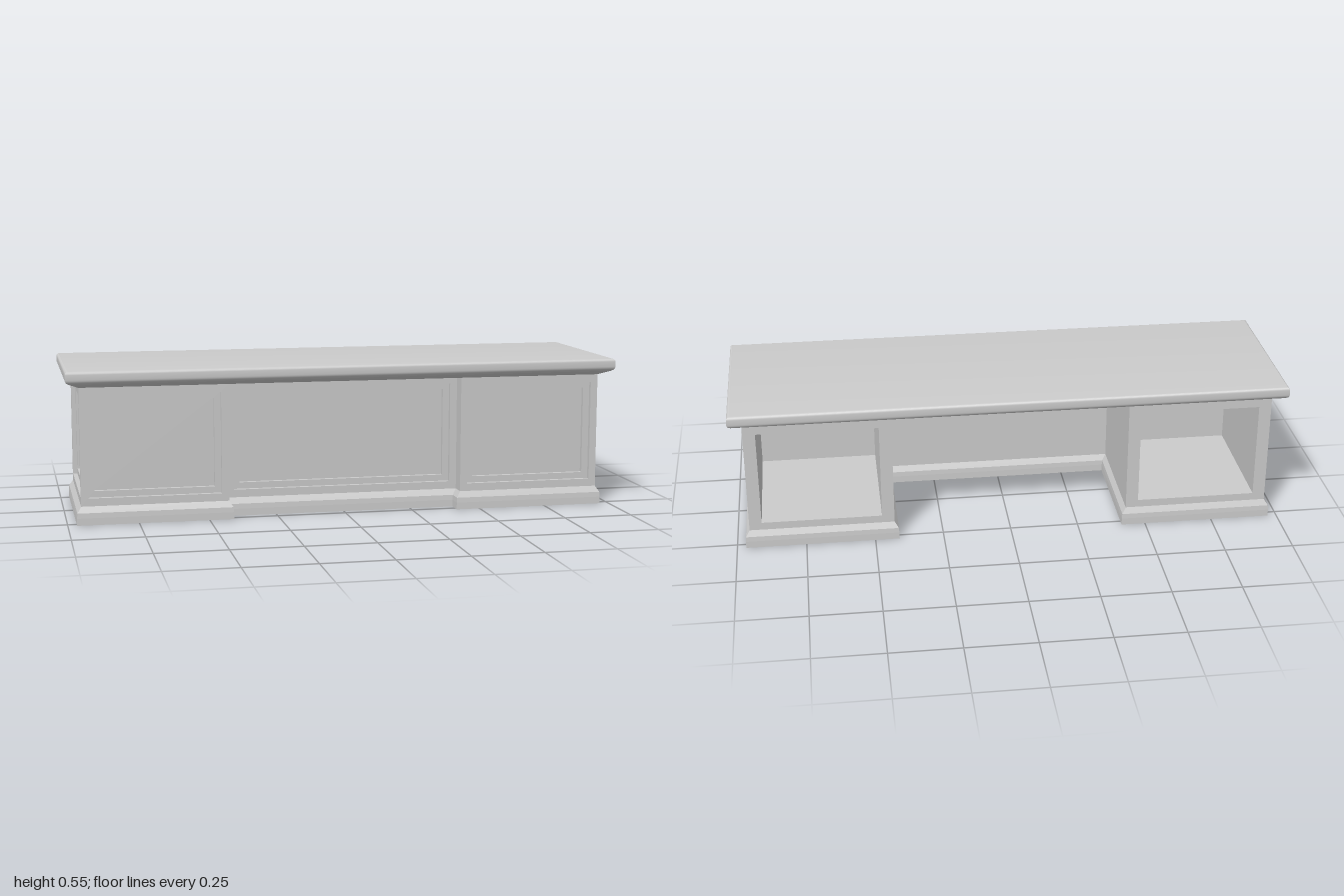
import * as THREE from 'three';
import { toCreasedNormals } from 'three/addons/utils/BufferGeometryUtils.js';

const material = new THREE.MeshStandardMaterial({ color: 0xcccccc, side: THREE.DoubleSide });

const BODY_TOP = 0.485, BODY_BOTTOM = 0.065;
const PED_X = 0.69, PED_HALF = 0.262;
const STEP = 0.016; // depth of each panel step

// Skin a series of rectangles [u0, u1, v0, v1, w], optionally closing the ends.
function loft(rings, capStart, capEnd) {
  const corners = rings.map(([u0, u1, v0, v1, w]) =>
    [[u0, v0, w], [u1, v0, w], [u1, v1, w], [u0, v1, w]]);
  const pos = [];
  const quad = (a, b, c, d) => pos.push(...a, ...b, ...c, ...a, ...c, ...d);
  for (let i = 0; i + 1 < corners.length; i++) {
    for (let k = 0; k < 4; k++) {
      const n = (k + 1) % 4;
      quad(corners[i][k], corners[i][n], corners[i + 1][n], corners[i + 1][k]);
    }
  }
  if (capStart) quad(...[...corners[0]].reverse());
  if (capEnd) quad(...corners[corners.length - 1]);
  const g = new THREE.BufferGeometry();
  g.setAttribute('position', new THREE.Float32BufferAttribute(pos, 3));
  g.computeVertexNormals();
  return g;
}

function mesh(name, geometry) {
  const m = new THREE.Mesh(geometry, material);
  m.name = name;
  return m;
}

// Rectangle of a wall, inset at the sides
const rect = (half, inset, y0, y1, w) => [-half + inset, half - inset, y0, y1, w];

// Wall with a two-step recessed panel
function panelWall(half) {
  return loft([
    rect(half, 0, BODY_BOTTOM, BODY_TOP, 0),
    rect(half, 0.0255, 0.093, 0.457, 0),
    rect(half, 0.0255, 0.093, 0.457, -STEP),
    rect(half, 0.049, 0.116, 0.435, -STEP),
    rect(half, 0.049, 0.116, 0.435, -2 * STEP),
  ], false, true);
}

// Wall with a deep open compartment
function cubbyWall(half, depth) {
  return loft([
    rect(half, 0, BODY_BOTTOM, BODY_TOP, 0),
    rect(half, 0.045, 0.093, 0.45, 0),
    rect(half, 0.045, 0.093, 0.45, -depth),
  ], false, true);
}

const plainWall = (half) => loft([rect(half, 0, BODY_BOTTOM, BODY_TOP, 0)], false, true);

// Horizontal moulding: profile of [offset x, offset z, y] around a rectangle
function moulding(hx, hz, profile, capped) {
  const rings = profile.map(([dx, dz, y]) => [-hx - dx, hx + dx, -hz - dz, hz + dz, y]);
  return loft(rings, capped, capped).rotateX(-Math.PI / 2);
}

const PLINTH = [[0.016, 0.013, 0], [0.0155, 0.0125, 0.025], [0.014, 0.011, 0.043], [0, 0, BODY_BOTTOM]];

function pedestal(side) {
  const g = new THREE.Group();
  g.name = side > 0 ? 'leftPedestal' : 'rightPedestal';
  const walls = [
    ['frontPanel', panelWall(PED_HALF), 0],
    ['outerPanel', panelWall(PED_HALF), side * Math.PI / 2],
    ['innerWall', plainWall(PED_HALF), -side * Math.PI / 2],
    ['backCompartment', cubbyWall(PED_HALF, 0.475), Math.PI],
  ];
  for (const [name, geometry, turn] of walls) {
    g.add(mesh(name, geometry.translate(0, 0, PED_HALF).rotateY(turn)));
  }
  g.add(mesh('plinth', moulding(PED_HALF, PED_HALF, PLINTH, false)));
  g.position.x = side * PED_X;
  return g;
}

function centreSection() {
  const g = new THREE.Group();
  g.name = 'modestyPanel';
  const half = PED_X - PED_HALF, front = 0.205, back = 0.165;
  g.add(mesh('centreFrontPanel', panelWall(half).translate(0, 0, front)));
  g.add(mesh('centreBackWall', plainWall(half).rotateY(Math.PI).translate(0, 0, back)));
  // runs straight between the pedestals
  const strip = PLINTH.map(([, dz, y]) => [0, dz, y]);
  g.add(mesh('centrePlinth',
    moulding(half, (front - back) / 2, strip, false).translate(0, 0, (front + back) / 2)));
  return g;
}

// Top slab: sloped underside, rounded edge
function tableTop() {
  const profile = [[0, 0, BODY_TOP], [0.036, 0.042, 0.502]];
  const edge = (r, cy, a0, a1, n) => {
    for (let i = 0; i <= n; i++) {
      const a = a0 + (a1 - a0) * i / n;
      const d = r * (1 - Math.cos(a));
      profile.push([0.048 - d, 0.053 - d, cy + r * Math.sin(a)]);
    }
  };
  edge(0.016, 0.518, -1.2, 0, 4);
  edge(0.011, 0.536, 0, Math.PI / 2, 5);
  return mesh('tableTop', toCreasedNormals(moulding(0.952, PED_HALF, profile, true), 0.5));
}

export function createModel() {
  const model = new THREE.Group();
  model.name = 'desk';
  model.add(pedestal(1), pedestal(-1), centreSection(), tableTop());
  return model;
}
